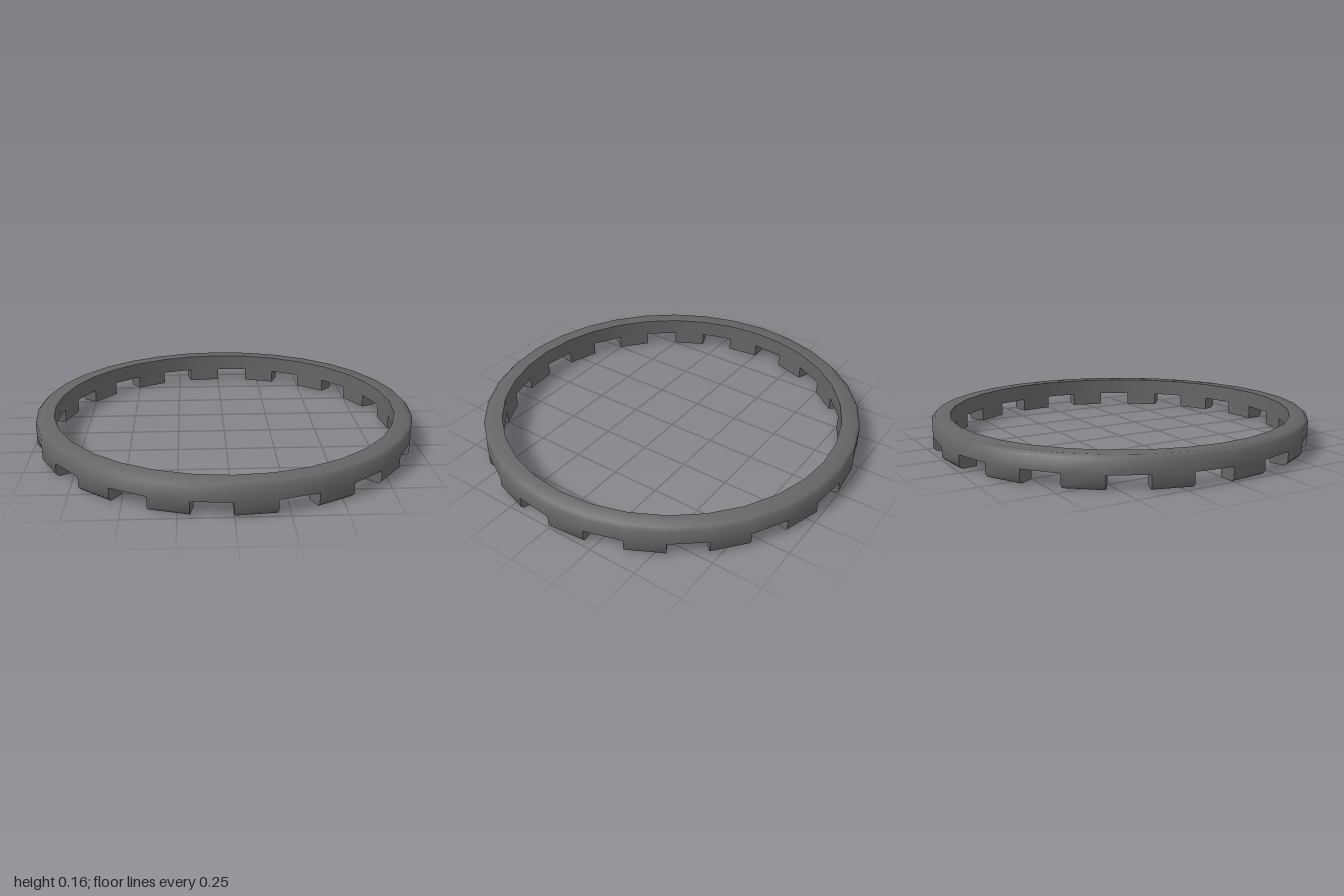
import * as THREE from 'three';
import { toCreasedNormals } from 'three/addons/utils/BufferGeometryUtils.js';

const SEGMENTS = 32;
const OUTER = 1, INNER = 0.905, HEIGHT = 0.158, NOTCH = 0.07, BEVEL = 0.016;

// Sweeps a run of [radius, y] points from angle a to angle b
function sweep(out, profile, a, b) {
  const at = ([r, y], t) => [r * Math.sin(t), y, r * Math.cos(t)];
  for (let i = 0; i < profile.length - 1; i++) {
    const p = profile[i], q = profile[i + 1];
    const pa = at(p, a), pb = at(p, b), qb = at(q, b), qa = at(q, a);
    out.push(...pa, ...pb, ...qb, ...pa, ...qb, ...qa);
  }
}

// Flat fan closing a convex cross-section at angle t
function cap(out, profile, t) {
  const pts = profile.map(([r, y]) => [r * Math.sin(t), y, r * Math.cos(t)]);
  for (let i = 1; i < pts.length - 1; i++) out.push(...pts[0], ...pts[i], ...pts[i + 1]);
}

export function createModel() {
  const group = new THREE.Group();
  group.name = 'notchedRing';
  const material = new THREE.MeshStandardMaterial({ color: 0x656565 });
  material.name = 'dark grey';

  // Outer wall, bevelled rim, flat top and inner wall of the band
  const band = [
    [OUTER, NOTCH], [OUTER, HEIGHT - BEVEL], [OUTER - BEVEL, HEIGHT],
    [INNER, HEIGHT], [INNER, NOTCH],
  ];
  // Tooth below the band, bevelled along its lower outer edge
  const tooth = [
    [INNER, NOTCH], [INNER, 0], [OUTER - BEVEL, 0], [OUTER, BEVEL], [OUTER, NOTCH],
  ];
  // Underside of the band between teeth
  const notch = [[INNER, NOTCH], [OUTER, NOTCH]];

  const positions = [];
  const step = (Math.PI * 2) / SEGMENTS;
  for (let i = 0; i < SEGMENTS; i++) {
    const a = i * step, b = ((i + 1) % SEGMENTS) * step;
    sweep(positions, band, a, b);
    if (i % 2 === 0) {
      sweep(positions, tooth, a, b);
      cap(positions, tooth, a);
      cap(positions, [...tooth].reverse(), b);
    } else {
      sweep(positions, notch, a, b);
    }
  }

  const geometry = new THREE.BufferGeometry();
  geometry.setAttribute('position', new THREE.Float32BufferAttribute(positions, 3));
  const ring = new THREE.Mesh(toCreasedNormals(geometry, Math.PI / 3), material);
  ring.name = 'toothedRing';
  group.add(ring);
  return group;
}
